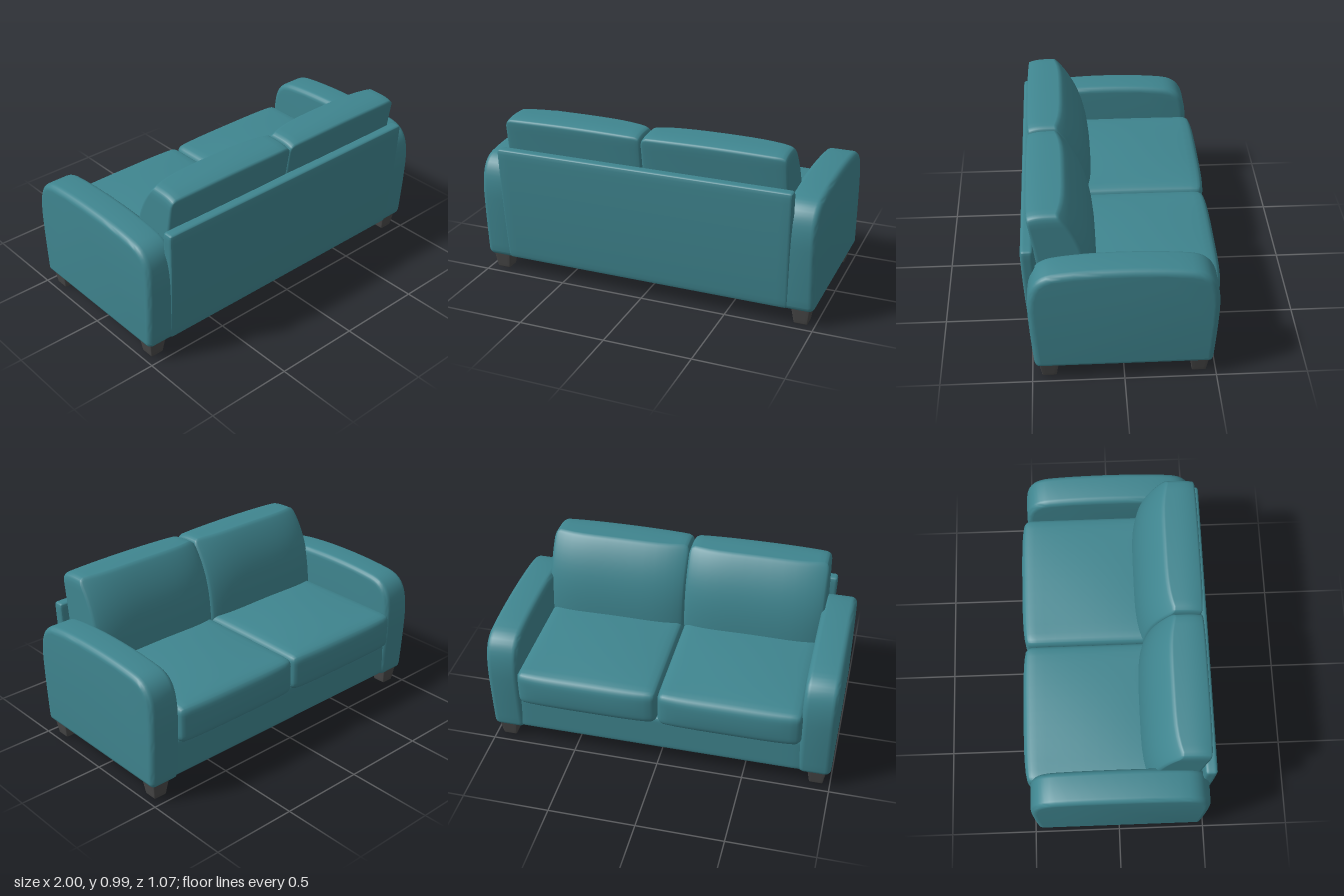
import * as THREE from 'three';
import { mergeVertices, toCreasedNormals } from 'three/addons/utils/BufferGeometryUtils.js';

const fabric = new THREE.MeshStandardMaterial({ color: 0x3f858f });
fabric.name = 'teal upholstery';
const wood = new THREE.MeshStandardMaterial({ color: 0x484848 });
wood.name = 'dark grey feet';

// Rounded, subdivided box; shape(p, u) bends it, with u running -1..1 along each axis
function softBox(min, max, r, shape, n = 16) {
  const lo = new THREE.Vector3(...min), hi = new THREE.Vector3(...max);
  const mid = lo.clone().add(hi).multiplyScalar(0.5);
  const half = hi.clone().sub(lo).multiplyScalar(0.5);
  const inner = half.clone().subScalar(r);
  let g = new THREE.BoxGeometry(2, 2, 2, n, n, n);
  g.deleteAttribute('uv');
  g.deleteAttribute('normal');
  g = mergeVertices(g);
  const pos = g.attributes.position;
  const p = new THREE.Vector3(), q = new THREE.Vector3();
  const ease = t => Math.sin(t * Math.PI / 2);
  for (let i = 0; i < pos.count; i++) {
    p.fromBufferAttribute(pos, i);
    p.set(ease(p.x), ease(p.y), ease(p.z)).multiply(half);
    q.copy(p).clamp(inner.clone().negate(), inner);
    p.sub(q).normalize().multiplyScalar(r).add(q);
    const u = p.clone().divide(half);
    p.add(mid);
    if (shape) shape(p, u);
    pos.setXYZ(i, p.x, p.y, p.z);
  }
  g.computeVertexNormals();
  return g;
}

// Armrest: side outline extruded across its width with a soft bevel
function armGeometry(width, bevel) {
  const s = new THREE.Shape();
  s.moveTo(-0.455, 0.093);
  s.lineTo(0.455, 0.093);
  s.quadraticCurveTo(0.483, 0.095, 0.487, 0.13);
  s.bezierCurveTo(0.497, 0.25, 0.507, 0.4, 0.508, 0.5);
  s.bezierCurveTo(0.506, 0.64, 0.47, 0.705, 0.38, 0.725);
  s.bezierCurveTo(0.22, 0.756, -0.14, 0.758, -0.35, 0.73);
  s.bezierCurveTo(-0.46, 0.713, -0.492, 0.64, -0.498, 0.5);
  s.bezierCurveTo(-0.5, 0.4, -0.49, 0.25, -0.482, 0.13);
  s.quadraticCurveTo(-0.48, 0.095, -0.455, 0.093);
  const g = new THREE.ExtrudeGeometry(s, {
    depth: width - 2 * bevel, bevelEnabled: true, bevelThickness: bevel,
    bevelSize: bevel, bevelOffset: -bevel, bevelSegments: 5, curveSegments: 10,
  });
  g.translate(0, 0, -(width / 2 - bevel));
  g.rotateY(-Math.PI / 2); // outline x becomes z
  return toCreasedNormals(g, 0.7);
}

export function createModel() {
  const sofa = new THREE.Group();
  sofa.name = 'sofa';
  const add = (name, geometry, material = fabric) => {
    const m = new THREE.Mesh(geometry, material);
    m.name = name;
    sofa.add(m);
    return m;
  };

  // Base under the seat
  add('base', softBox([-0.84, 0.1, -0.475], [0.84, 0.33, 0.46], 0.025));

  // Back panel, leaning outward toward its top
  add('backPanel', softBox([-0.87, 0.098, 0.42], [0.87, 0.792, 0.49], 0.02, (p, u) => {
    const t = (u.y + 1) / 2;
    p.z += 0.075 * t - 0.03 * t * t;
    p.x *= 0.982 + 0.018 * t;
  }));

  const arm = armGeometry(0.19, 0.035);
  for (const side of [1, -1]) {
    const label = side > 0 ? 'left' : 'right';
    const span = (a, b) => (side > 0 ? [a, b] : [-b, -a]);

    add(label + 'Arm', arm).position.x = side * 0.905;

    // Seat cushion with crowned top and bulging front
    const [s0, s1] = span(0.001, 0.822);
    add(label + 'SeatCushion', softBox([s0, 0.31, -0.515], [s1, 0.53, 0.3], 0.045, (p, u) => {
      const across = 1 - u.x * u.x;
      if (u.y > 0) p.y += 0.025 * u.y * across * (1 - u.z * u.z);
      if (u.z < 0) p.z += 0.022 * u.z * (1 - u.x ** 4) * (1 - 0.5 * u.y * u.y);
    }));

    // Back cushion: sloping front, leaning rear face
    const [b0, b1] = span(0.001, 0.835);
    add(label + 'BackCushion', softBox([b0, 0.48, 0], [b1, 0.98, 1], 0.04, (p, u) => {
      const t = (u.y + 1) / 2;
      const front = 0.13 + 0.03 * t + 0.14 * t ** 3 + 0.045 * u.x ** 4;
      const back = 0.435 + 0.07 * t - 0.008 * u.x ** 4;
      p.z = front + (back - front) * p.z;
      const s = (u.z + 1) / 2;
      p.y += t ** 3 * (0.008 * (1 - u.x * u.x) - 0.022 * s ** 4);
      p.x -= side * 0.012 * (side * u.x > 0 ? t * Math.abs(u.x) : 0);
    }));

    // Tapered feet
    for (const end of [1, -1]) {
      const foot = add(label + (end > 0 ? 'Front' : 'Rear') + 'Foot',
        softBox([-0.055, 0, -0.055], [0.055, 0.11, 0.055], 0.008, (p, u) => {
          const k = 0.7 + 0.3 * (u.y + 1) / 2;
          p.x *= k;
          p.z *= k;
        }, 6), wood);
      foot.position.set(side * 0.92, 0, end * 0.408);
    }
  }
  return sofa;
}
